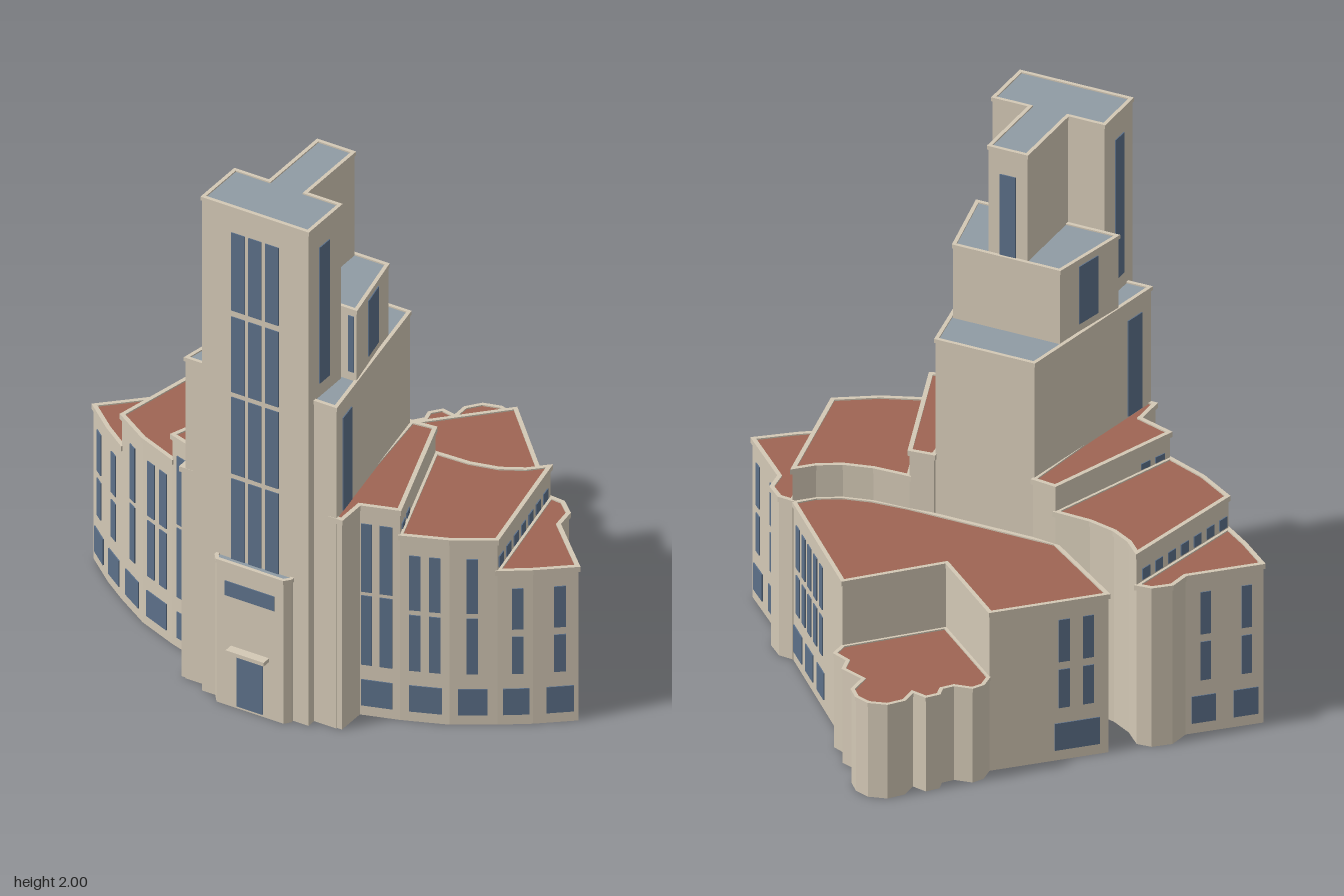
import * as THREE from 'three';

const mat = (name, color) => new THREE.MeshStandardMaterial({ name, color, side: THREE.DoubleSide });
const stone = mat('stone', 0xd3c8b5);
const tile = mat('roofTile', 0x9e6553);
const slate = mat('slateRoof', 0x8f9ba4);
const glass = mat('windowGlass', 0x5c7089);

// plan points are [x, z]
const mirror = (pts) => pts.map(([x, z]) => [-x, z]);
const area = (p) => p.reduce((s, [x, z], i) => {
  const [u, w] = p[(i + 1) % p.length];
  return s + (x * -w + u * z) / 2;
}, 0);
const orient = (p) => (area(p) < 0 ? [...p].reverse() : p);

// mitred offset of a plan outline, positive outwards
function offset(p, d) {
  const normal = (a, b) => {
    const l = Math.hypot(b[0] - a[0], b[1] - a[1]);
    return [-(b[1] - a[1]) / l, (b[0] - a[0]) / l];
  };
  return p.map((c, i) => {
    const n = normal(p[(i + p.length - 1) % p.length], c);
    const m = normal(c, p[(i + 1) % p.length]);
    const k = d / Math.max(0.4, 1 + n[0] * m[0] + n[1] * m[1]);
    return [c[0] + (n[0] + m[0]) * k, c[1] + (n[1] + m[1]) * k];
  });
}

const toVectors = (p) => p.map(([x, z]) => new THREE.Vector2(x, -z));

// upright walls around an outline, open below
function wallGeometry(p, h) {
  const v = [];
  p.forEach(([x, z], i) => {
    const [u, w] = p[(i + 1) % p.length];
    v.push(x, 0, z, u, 0, w, u, h, w, x, 0, z, u, h, w, x, h, z);
  });
  const g = new THREE.BufferGeometry();
  g.setAttribute('position', new THREE.Float32BufferAttribute(v, 3));
  g.computeVertexNormals();
  return g;
}

// one building volume: walls, raised rim and sunken roof
function block(parent, name, outline, h, roofMat, lip = 0.004, rimHeight = 0.015) {
  const p = orient(outline);
  const group = new THREE.Group();
  group.name = name;
  const add = (part, g, m) => {
    const mesh = new THREE.Mesh(g, m);
    mesh.name = part;
    group.add(mesh);
    return mesh;
  };
  add('walls', wallGeometry(p, h - rimHeight), stone);
  const rim = new THREE.Shape(toVectors(offset(p, lip)));
  rim.holes.push(new THREE.Path(toVectors(offset(p, -0.01))));
  const rimGeo = new THREE.ExtrudeGeometry(rim, { depth: rimHeight, bevelEnabled: false });
  add('rim', rimGeo.rotateX(-Math.PI / 2), stone).position.y = h - rimHeight;
  const roofGeo = new THREE.ShapeGeometry(new THREE.Shape(toVectors(offset(p, -0.006))));
  add('roof', roofGeo.rotateX(-Math.PI / 2), roofMat).position.y = h - 0.005;
  parent.add(group);
}

// panes on the wall a-b; each pane is [from, to, y0, y1] measured along axis 0 (x) or 1 (z)
function panes(parent, name, a, b, axis, list) {
  const group = new THREE.Group();
  group.name = name;
  const dx = b[0] - a[0], dz = b[1] - a[1], len = Math.hypot(dx, dz);
  let n = [-dz / len, dx / len];
  if (n[0] * (a[0] + b[0]) / 2 + n[1] * ((a[1] + b[1]) / 2 - 0.3) < 0) n = [-n[0], -n[1]];
  for (const [s, e, y0, y1] of list) {
    const span = b[axis] - a[axis];
    const t = ((s + e) / 2 - a[axis]) / span;
    const w = Math.abs((e - s) / span) * len;
    const pane = new THREE.Mesh(new THREE.BoxGeometry(w, y1 - y0, 0.004), glass);
    pane.name = 'window';
    pane.position.set(a[0] + dx * t + n[0] * 0.002, (y0 + y1) / 2, a[1] + dz * t + n[1] * 0.002);
    pane.rotation.y = Math.atan2(n[0], n[1]);
    group.add(pane);
  }
  parent.add(group);
}

const LOW = [[0.205, 0.355], [0.385, 0.55]];
const MID = [[0.205, 0.43], [0.45, 0.67]];
const HIGH = [[0.205, 0.485], [0.5, 0.775]];
const BASE = [[0.04, 0.145]];
// every column [from, to] repeated on every row [y0, y1]
const grid = (cols, rows) => cols.flatMap((c) => rows.map((r) => [...c, ...r]));

function wing(parent, side) {
  const g = new THREE.Group();
  g.name = side > 0 ? 'leftWing' : 'rightWing';
  const m = (pts) => (side > 0 ? pts : mirror(pts));
  const flip = (list) => list.map(([s, e, ...y]) => [s * side, e * side, ...y]);
  block(g, 'innerWing', m([[0.19, 0.06], [0.28, 0.05], [0.46, 0.567], [0.325, 0.61],
    [0.325, 0.725], [0.28, 0.725]]), 0.85, tile, 0.006, 0.02);
  block(g, 'middleWing', m([[0.28, 0.05], [0.415, 0.045], [0.52, 0.02], [0.6, -0.025], [0.66, -0.085],
    [0.76, 0.415], [0.62, 0.503], [0.46, 0.567]]), 0.75, tile, 0.006, 0.02);
  block(g, 'outerWing', m([[0.66, -0.085], [0.715, -0.08], [0.77, -0.03], [0.78, 0.05], [0.98, 0.245],
    [0.86, 0.345], [0.76, 0.415]]), 0.625, tile, 0.006, 0.02);

  // curved street front
  const facets = [
    [[0.325, 0.61], [0.46, 0.567], [[0.33, 0.366], [0.392, 0.435]], HIGH, [0.33, 0.435]],
    [[0.46, 0.567], [0.62, 0.503], [[0.49, 0.527], [0.555, 0.592]], MID, [0.49, 0.597]],
    [[0.62, 0.503], [0.76, 0.415], [[0.67, 0.703]], MID, [0.645, 0.73]],
    [[0.76, 0.415], [0.86, 0.345], [[0.8, 0.832]], LOW, [0.775, 0.85]],
    [[0.86, 0.345], [0.98, 0.245], [[0.915, 0.947]], LOW, [0.895, 0.968]],
  ];
  for (const [a, b, cols, rows, base] of facets) {
    panes(g, 'frontWindows', ...m([a, b]), 0, flip([...grid(cols, rows), ...grid([base], BASE)]));
  }
  // end wall
  panes(g, 'endWindows', ...m([[0.98, 0.245], [0.78, 0.05]]), 1,
    [...grid([[0.19, 0.216], [0.087, 0.113]], LOW), ...grid([[0.17, 0.232], [0.065, 0.125]], BASE)]);
  // clerestory strips in the roof steps
  const strip = [0.385, 0.315, 0.245, 0.175, 0.105, 0.035, -0.035].map((z) => [z - 0.02, z + 0.02]);
  panes(g, 'stepWindows', ...m([[0.76, 0.415], [0.66, -0.085]]), 1, grid(strip, [[0.632, 0.675]]));
  panes(g, 'upperStepWindows', ...m([[0.46, 0.567], [0.28, 0.05]]), 1,
    grid([[0.5, 0.54], [0.435, 0.475]], [[0.755, 0.778]]));
  parent.add(g);
}

export function createModel() {
  const model = new THREE.Group();
  model.name = 'building';

  // stepped central tower
  block(model, 'towerBase', [[-0.19, 0.07], [0.19, 0.07], [0.305, 0.73], [-0.305, 0.73]], 1.3, slate);
  block(model, 'towerShoulder', [[-0.205, 0.235], [0.205, 0.235], [0.272, 0.547], [-0.272, 0.547]], 1.585, slate);
  block(model, 'towerShaft', [[-0.075, 0.245], [0.075, 0.245], [0.075, 0.555], [0.215, 0.555],
    [0.215, 0.766], [-0.215, 0.766], [-0.215, 0.555], [-0.075, 0.555]], 2, slate);

  panes(model, 'towerFrontWindows', [-0.215, 0.766], [0.215, 0.766], 0,
    grid([[-0.095, -0.041], [-0.026, 0.026], [0.041, 0.095]],
      [[0.575, 0.9], [0.92, 1.23], [1.25, 1.555], [1.58, 1.895]]));
  panes(model, 'towerBackWindow', [-0.075, 0.245], [0.075, 0.245], 0, [[-0.03, 0.03, 1.35, 1.9]]);
  for (const s of [1, -1]) {
    panes(model, 'towerSideWindow', [s * 0.215, 0.555], [s * 0.215, 0.766], 1, [[0.633, 0.697, 1.35, 1.9]]);
    panes(model, 'shoulderSideWindow', [s * 0.205, 0.235], [s * 0.272, 0.547], 1, [[0.335, 0.435, 1.33, 1.555]]);
    panes(model, 'shoulderFrontWindow', [0, 0.547], [s * 0.272, 0.547], 0, [[s * 0.24, s * 0.262, 1.33, 1.555]]);
    panes(model, 'baseSideWindow', [s * 0.19, 0.07], [s * 0.305, 0.73], 1, [[0.597, 0.675, 0.85, 1.225]]);
    wing(model, s);
  }

  // entrance porch, door and canopy
  block(model, 'entrancePorch', [[-0.153, 0.75], [-0.153, 0.778], [-0.135, 0.8], [0.135, 0.8],
    [0.153, 0.778], [0.153, 0.75]], 0.58, slate);
  panes(model, 'entranceGlazing', [-0.135, 0.8], [0.135, 0.8], 0,
    [[-0.052, 0.052, 0.01, 0.222], [-0.1, 0.1, 0.445, 0.503]]);
  const canopy = new THREE.Mesh(new THREE.BoxGeometry(0.154, 0.015, 0.04), stone);
  canopy.name = 'canopy';
  canopy.position.set(0, 0.238, 0.815);
  model.add(canopy);

  // rear hall
  const west = [[-0.6, -0.18], [-0.295, -0.48]], east = [[0.255, -0.51], [0.655, -0.088]];
  block(model, 'rearHall', [...west, [-0.005, -0.235], ...east, [0.6, -0.025], [0.52, 0.02],
    [0.415, 0.045], [0.28, 0.055], [-0.28, 0.055]], 0.622, tile, 0.005, 0.018);
  panes(model, 'rearRightWindows', ...west, 0,
    [...grid([[-0.5, -0.472], [-0.562, -0.534]], LOW), ...grid([[-0.577, -0.462]], BASE)]);
  const five = [-0.13, -0.18, -0.23, -0.28, -0.33].map((z) => [z - 0.014, z + 0.014]);
  panes(model, 'rearLeftWindows', ...east, 1,
    [...grid(five, LOW), ...grid([[-0.165, -0.095], [-0.26, -0.195], [-0.355, -0.295]], BASE)]);

  // low scalloped rear annex
  block(model, 'rearAnnex', [[-0.005, -0.235], [-0.295, -0.48], [-0.302, -0.54], [-0.28, -0.58],
    [-0.215, -0.592], [-0.187, -0.628], [-0.197, -0.667], [-0.165, -0.708], [-0.11, -0.697], [-0.11, -0.76],
    [-0.07, -0.812], [-0.005, -0.83], [0.05, -0.812], [0.088, -0.77], [0.088, -0.688], [0.18, -0.657],
    [0.193, -0.598], [0.255, -0.572], [0.255, -0.51]], 0.37, tile);

  return model;
}
